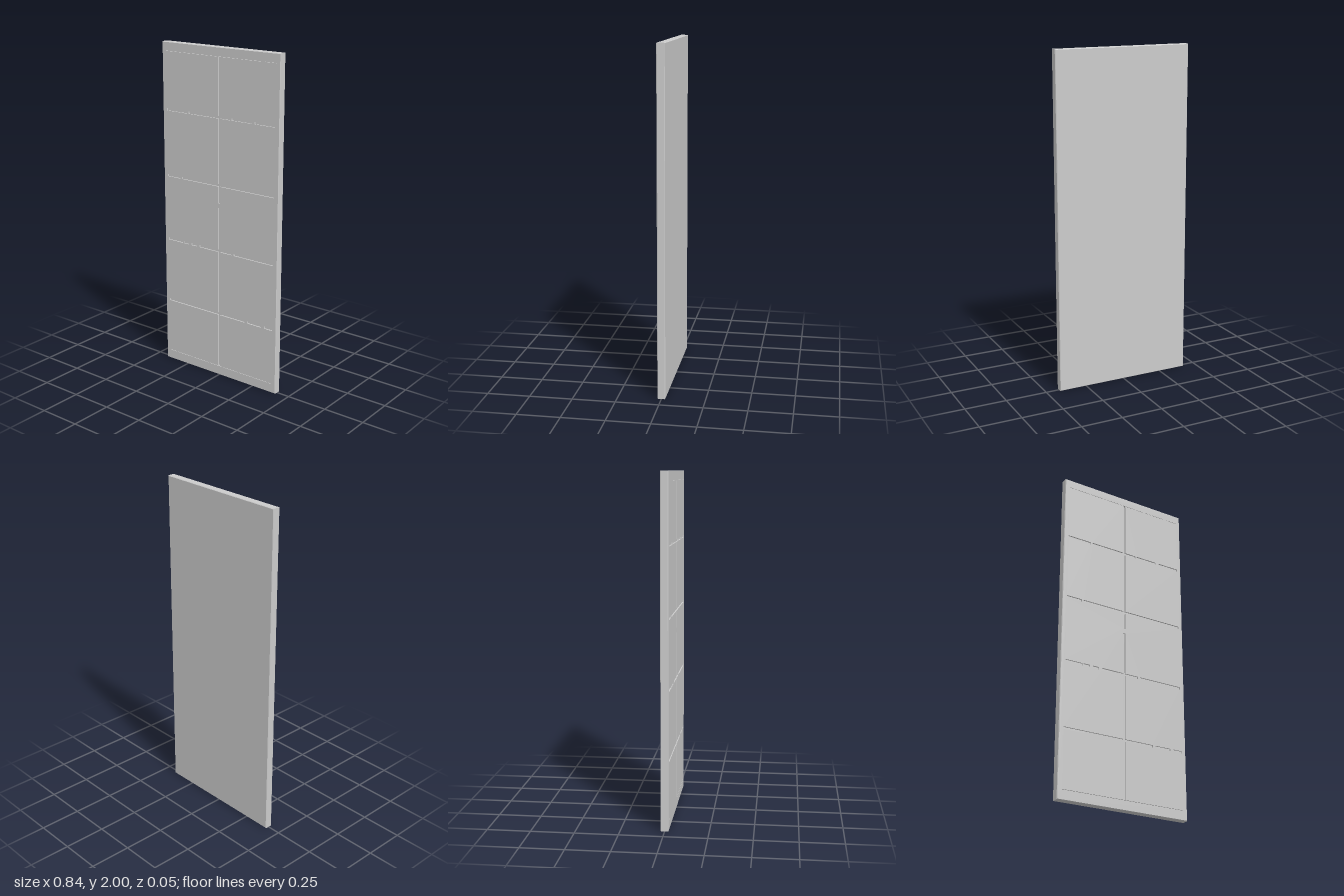
import * as THREE from 'three';

const W = 0.418, H = 2, Z = 0.023;      // half width, height, half depth
const GROOVE = 0.008, CH = 0.003;       // groove depth, edge chamfer
const G = 0.007, REACH = 0.39;          // groove half width, arm reach

// Groove rows: height and the small bridges [centre, width] that interrupt them
const rows = [
  { y: 0.402, gaps: [[0.2, 0.02], [0.322, 0.022]] },
  { y: 0.802, gaps: [[-0.275, 0.006], [-0.22, 0.018], [-0.16, 0.022], [0.1, 0.016]] },
  { y: 1.203, gaps: [[-0.285, 0.012]] },
  { y: 1.603, gaps: [[-0.23, 0.01], [0.085, 0.01], [0.24, 0.022]] },
];

const pathOf = (pts) => new THREE.Path(pts.map(([x, y]) => new THREE.Vector2(x, y)));
const rect = (x0, x1, y0, y1) => pathOf([[x0, y0], [x0, y1], [x1, y1], [x1, y0]]);

// Splits a row into uninterrupted [start, end] pieces
function pieces(gaps) {
  const out = [];
  let x = -REACH;
  for (const [c, w] of gaps) {
    out.push([x, c - w / 2]);
    x = c + w / 2;
  }
  out.push([x, REACH]);
  return out;
}

// Vertical groove from y0 to y1 joined with the arms that cross it
function spine(y0, y1, crossing) {
  const right = [], left = [];
  for (const { y, gaps } of crossing) {
    const [a, b] = pieces(gaps).find(([s, e]) => s < 0 && e > 0);
    right.push([G, y - G], [b, y - G], [b, y + G], [G, y + G]);
    left.push([-G, y - G], [a, y - G], [a, y + G], [-G, y + G]);
  }
  return pathOf([[-G, y0], [G, y0], ...right, [G, y1], [-G, y1], ...left.reverse()]);
}

function outline() {
  return new THREE.Shape([[-W, 0], [W, 0], [W, H], [-W, H]].map(([x, y]) => new THREE.Vector2(x, y)));
}

// Extrudes a layer from z0 to z1 and chamfers its rim at the outer face
function layer(shape, z0, z1, outerZ, steps) {
  const geo = new THREE.ExtrudeGeometry(shape, { depth: z1 - z0, steps, bevelEnabled: false });
  geo.translate(0, 0, z0);
  const p = geo.attributes.position;
  for (let i = 0; i < p.count; i++) {
    if (Math.abs(p.getZ(i) - outerZ) > 1e-5) continue;
    const x = p.getX(i), y = p.getY(i);
    if (Math.abs(x) > W - 1e-4) p.setX(i, Math.sign(x) * (W - CH));
    if (y < 1e-4) p.setY(i, CH);
    if (y > H - 1e-4) p.setY(i, H - CH);
  }
  geo.computeVertexNormals();
  return geo;
}

export function createModel() {
  const group = new THREE.Group();
  group.name = 'panel';
  const mat = new THREE.MeshStandardMaterial({ color: 0xcccccc });
  const add = (name, geo) => {
    const mesh = new THREE.Mesh(geo, mat);
    mesh.name = name;
    group.add(mesh);
  };

  // Solid core, whose front is the floor of the grooves
  add('panelCore', layer(outline(), -Z, Z - GROOVE, -Z, 12));

  // Grooved front layer
  const face = outline();
  face.holes.push(spine(0.061, 1.066, rows.slice(0, 2)), spine(1.096, 1.944, rows.slice(2)));
  for (const { y, gaps } of rows) {
    for (const [a, b] of pieces(gaps)) {
      if (a > 0 || b < 0) face.holes.push(rect(a, b, y - G, y + G));
    }
  }
  // Hairline grooves along the top and bottom
  const fine = 0.001;
  face.holes.push(rect(-REACH, REACH, 0.058 - fine, 0.058 + fine));
  for (const [a, b] of pieces([[0.145, 0.02], [0.305, 0.02]])) {
    face.holes.push(rect(a, b, 1.947 - fine, 1.947 + fine));
  }
  add('groovedFront', layer(face, Z - GROOVE, Z, Z, 2));

  return group;
}
